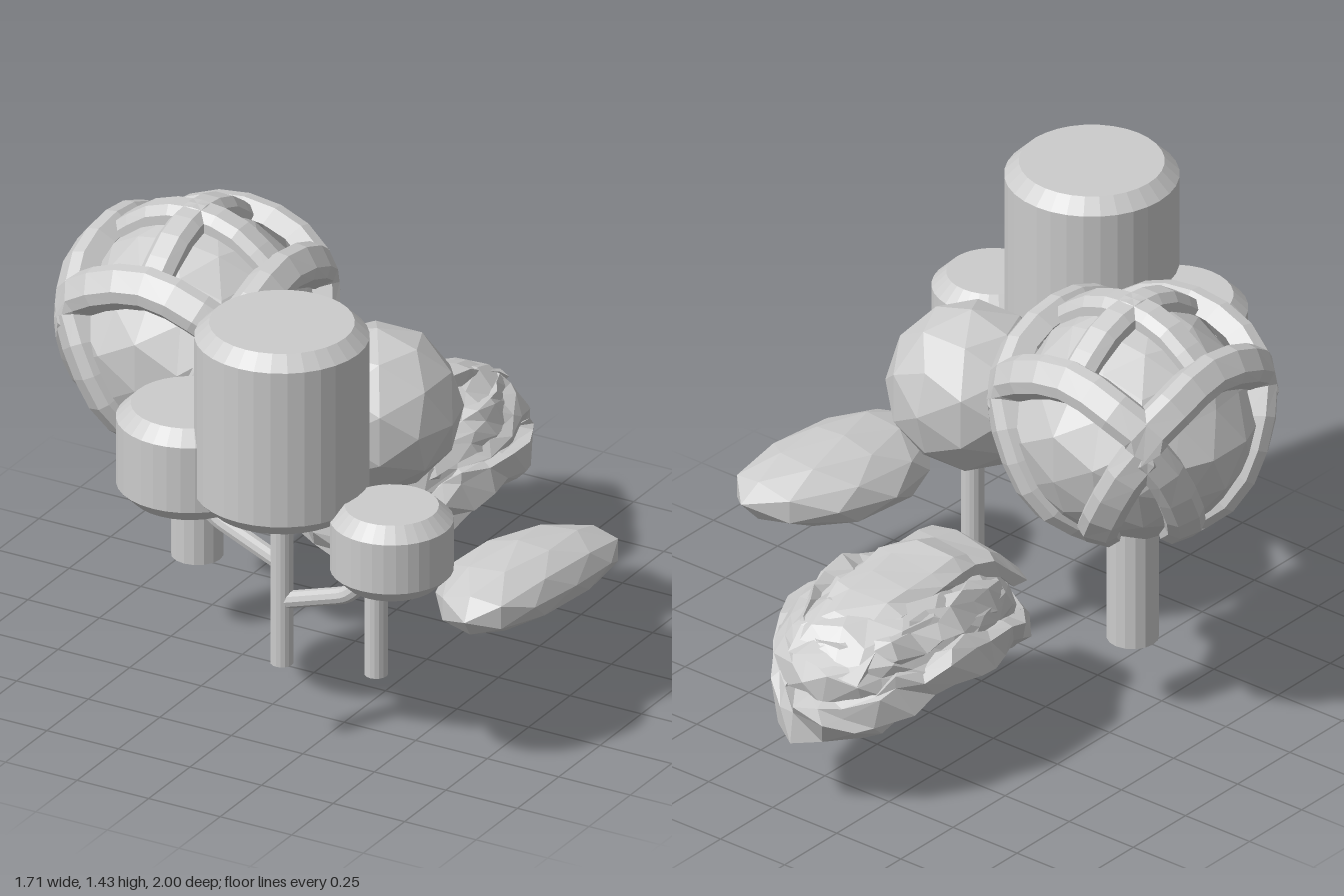
import * as THREE from 'three';

const V = (x, y, z) => new THREE.Vector3(x, y, z);
const mat = new THREE.MeshStandardMaterial({ color: 0xcccccc, flatShading: true });

function add(parent, name, geometry, x = 0, y = 0, z = 0) {
  const mesh = new THREE.Mesh(geometry, mat);
  mesh.name = name;
  mesh.position.set(x, y, z);
  parent.add(mesh);
  return mesh;
}

// Skin over a row of cross-sections; rings run counter-clockwise about the path
function loft(rings, closed) {
  const pos = [];
  const count = closed ? rings.length : rings.length - 1;
  const tri = (...p) => p.forEach(v => pos.push(v.x, v.y, v.z));
  for (let i = 0; i < count; i++) {
    const A = rings[i], B = rings[(i + 1) % rings.length];
    A.forEach((a, j) => {
      const k = (j + 1) % A.length;
      tri(a, A[k], B[k]);
      tri(a, B[k], B[j]);
    });
  }
  const g = new THREE.BufferGeometry();
  g.setAttribute('position', new THREE.Float32BufferAttribute(pos, 3));
  g.computeVertexNormals();
  return g;
}

// Bevelled strap following a path around the origin
function band(points, closed, steps, width, height) {
  const curve = new THREE.CatmullRomCurve3(points, closed);
  const rings = [];
  for (let i = 0; i < (closed ? steps : steps + 1); i++) {
    const p = curve.getPointAt(i / steps), t = curve.getTangentAt(i / steps);
    const n = p.clone().normalize();
    const s = t.cross(n).normalize();
    rings.push([[-1, -0.5], [0.4, -0.5], [1, -0.28], [1, 0.28], [0.4, 0.5], [-1, 0.5]].map(([a, b]) =>
      p.clone().addScaledVector(n, a * height / 2).addScaledVector(s, b * width)));
  }
  return loft(rings, closed);
}

// Move every vertex of a geometry by a rule
function reshape(g, rule) {
  const p = g.attributes.position;
  for (let i = 0; i < p.count; i++) {
    const v = rule(V().fromBufferAttribute(p, i));
    p.setXYZ(i, v.x, v.y, v.z);
  }
  g.computeVertexNormals();
  return g;
}

// Repeatable roughening: equal positions always move together
function roughen(g, amount) {
  const hash = (a, b, c) => {
    const h = Math.sin(a * 127.1 + b * 311.7 + c * 74.7) * 43758.5453;
    return (h - Math.floor(h) - 0.5) * 2 * amount;
  };
  return reshape(g, v => {
    const [x, y, z] = v.toArray().map(c => Math.round(c * 1000) / 10);
    return v.add(V(hash(x, y, z), hash(y, z, x), hash(z, x, y)));
  });
}

// Drum with bevelled rims
function drum(parent, name, x, z, r, y0, y1) {
  const b = 0.045;
  const profile = [[0, y0], [r - b, y0], [r, y0 + b], [r, y1 - b], [r - b, y1], [0, y1]]
    .map(([a, h]) => new THREE.Vector2(a, h));
  add(parent, name, new THREE.LatheGeometry(profile, 32), x, 0, z);
}

function post(parent, name, x, z, r, y0, y1) {
  add(parent, name, new THREE.CylinderGeometry(r, r, y1 - y0, 16), x, (y0 + y1) / 2, z);
}

function drumTree() {
  const g = new THREE.Group();
  g.name = 'drumTree';
  const z = 0.733;
  post(g, 'trunk', 0.167, z, 0.035, 0.28, 0.85);
  drum(g, 'mainCanopy', 0.167, z, 0.266, 0.82, 1.428);
  drum(g, 'rightCanopy', -0.153, z, 0.226, 0.77, 1.078);
  drum(g, 'leftCanopy', 0.551, z, 0.188, 0.65, 0.905);
  // Bent branches
  [[[0.165, 0.615], [-0.06, 0.71], [-0.155, 0.8]], [[0.165, 0.49], [0.4, 0.565], [0.52, 0.69]]].forEach(p => {
    const [a, b, c] = p.map(([x, y]) => V(x, y, z));
    const path = new THREE.CurvePath();
    const b0 = b.clone().lerp(a, 0.12), b1 = b.clone().lerp(c, 0.2);
    path.add(new THREE.LineCurve3(a, b0));
    path.add(new THREE.QuadraticBezierCurve3(b0, b, b1));
    path.add(new THREE.LineCurve3(b1, c));
    add(g, 'branch', new THREE.TubeGeometry(path, 20, 0.027, 10));
  });
  return g;
}

function ballTree() {
  const g = new THREE.Group();
  g.name = 'ballTree';
  post(g, 'trunk', 0.167, 0.163, 0.036, 0, 0.7);
  add(g, 'canopy', new THREE.IcosahedronGeometry(0.263, 1), 0.168, 0.9, 0.158);
  return g;
}

function strappedTree() {
  const g = new THREE.Group();
  g.name = 'strappedTree';
  post(g, 'trunk', -0.46, 0.16, 0.08, 0.25, 0.8);
  const crown = new THREE.Group();
  crown.name = 'crown';
  crown.position.set(-0.462, 1.033, 0.157);
  g.add(crown);
  // Core, sunk in the upper part between the straps
  add(crown, 'core', reshape(new THREE.IcosahedronGeometry(0.388, 2),
    v => v.multiplyScalar(v.y > 0.12 ? 0.9 : 1)));
  // Four arched hoops meeting at the corners and narrowing to the foot
  const half = [[0, 0.24, 0.305], [0.17, 0.2, 0.305], [0.28, 0.11, 0.275], [0.215, -0.03, 0.318], [0.11, -0.22, 0.295]];
  const hoop = [...half, [0, -0.335, 0.16], ...half.slice(1).reverse().map(([x, y, z]) => [-x, y, z])]
    .map(a => V(...a));
  for (let k = 0; k < 4; k++) {
    const strap = add(crown, 'hoop', band(hoop, true, 20, 0.125, 0.09));
    strap.rotation.y = k * Math.PI / 2;
  }
  // Crossed straps over the top
  for (let k = 0; k < 2; k++) {
    const arc = [-0.85, -0.4, 0, 0.4, 0.85].map(t => V(0, 0.35 * Math.cos(t), 0.35 * Math.sin(t)));
    const strap = add(crown, 'topStrap', band(arc, false, 8, 0.11, 0.09));
    strap.rotation.y = k * Math.PI / 2;
  }
  return g;
}

function shaggyBush() {
  const g = new THREE.Group();
  g.name = 'shaggyBush';
  g.position.set(-0.075, 0.43, -0.505);
  // Smooth belly
  add(g, 'belly', new THREE.IcosahedronGeometry(1, 2).scale(0.25, 0.17, 0.42));
  // Rough upper shell
  const shell = reshape(new THREE.IcosahedronGeometry(1, 3).scale(0.29, 0.2, 0.44),
    v => v.setY(Math.max(v.y, -0.04)));
  add(g, 'shell', roughen(shell, 0.02));
  // Sagging rims
  const ring = (rx, rz, y, sag) => Array.from({ length: 16 }, (_, i) => {
    const a = i / 16 * Math.PI * 2;
    return V(rx * Math.cos(a), y - sag * Math.sin(a) ** 2, -rz * Math.sin(a));
  });
  add(g, 'outerRim', roughen(band(ring(0.275, 0.435, 0, 0.125), true, 28, 0.13, 0.09), 0.022));
  add(g, 'upperRim', roughen(band(ring(0.215, 0.345, 0.11, 0.07), true, 24, 0.11, 0.08), 0.02));
  // Raised ridge along the back
  const ridge = [[-0.38, 0.06], [-0.2, 0.16], [0, 0.195], [0.16, 0.2], [0.3, 0.16], [0.41, 0.05]]
    .map(([z, y]) => V(-0.035, y, z));
  add(g, 'ridge', roughen(band(ridge, false, 10, 0.25, 0.06), 0.014));
  return g;
}

// Leaf-shaped pod: a ball drawn out to two points, bowed sideways
function pod() {
  return reshape(new THREE.IcosahedronGeometry(1, 1), ({ x, y, z }) => {
    const bow = 0.065 * z * z - 0.045 * z;
    return V(0.65 + 0.205 * x + bow, 0.437 + 0.122 * y + 0.02 * x, 0.14 + 0.36 * z);
  });
}

export function createModel() {
  const model = new THREE.Group();
  model.name = 'treeSet';
  model.add(drumTree(), ballTree(), strappedTree(), shaggyBush());
  add(model, 'pod', pod());
  return model;
}
